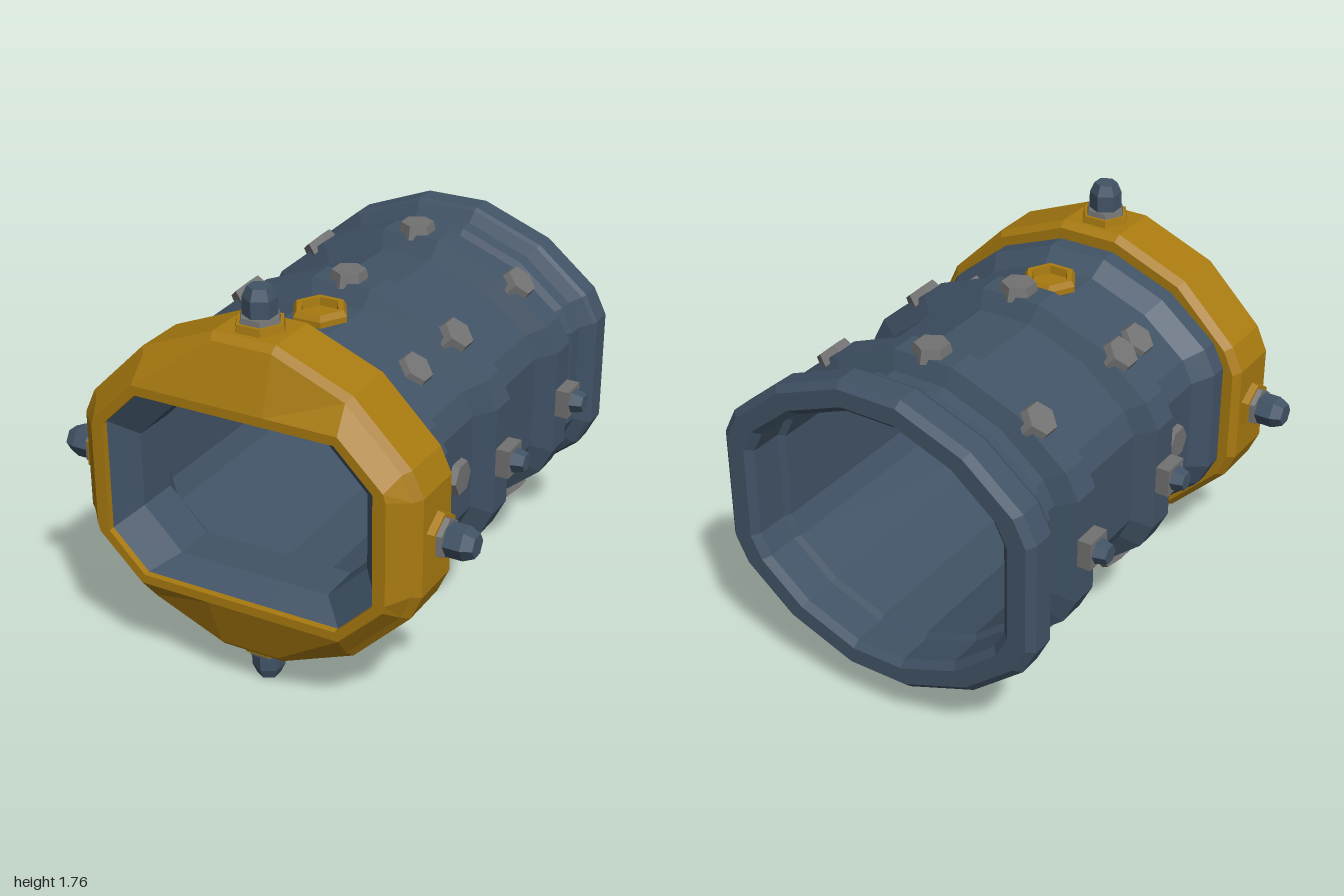
import * as THREE from 'three';

const CY = 0.885; // height of the tube axis
const mat = (name, color) => {
  const m = new THREE.MeshStandardMaterial({ color, flatShading: true });
  m.name = name;
  return m;
};

// Mirror one quadrant (listed from +x round to +y) into a full ring
function ring(z, quad, s = 1) {
  const q1 = quad.map(([x, y]) => [x * s, y * s]);
  const q2 = q1.map(([x, y]) => [-x, y]).reverse();
  const half = [...q1, ...q2];
  return [...half, ...half.map(([x, y]) => [-x, -y])].map(([x, y]) => [x, y, z]);
}

// Skin a closed profile of rings; outside runs back to front
function loft(rings) {
  const n = rings[0].length, index = [];
  for (let i = 0; i < rings.length; i++) {
    const k = (i + 1) % rings.length;
    for (let j = 0; j < n; j++) {
      const l = (j + 1) % n;
      index.push(i * n + j, i * n + l, k * n + l, i * n + j, k * n + l, k * n + j);
    }
  }
  const g = new THREE.BufferGeometry();
  g.setAttribute('position', new THREE.Float32BufferAttribute(rings.flat(2), 3));
  g.setIndex(index);
  const flat = g.toNonIndexed();
  flat.computeVertexNormals();
  return flat;
}

// Six-sided frustum standing on y0; turn swaps corners from z to x
function hex(rBottom, rTop, y0, y1, turn = false) {
  const g = new THREE.CylinderGeometry(rTop, rBottom, y1 - y0, 6);
  if (turn) g.rotateY(Math.PI / 6);
  return g.translate(0, (y0 + y1) / 2, 0);
}

export function createModel() {
  const root = new THREE.Group();
  const blue = mat('slate blue', 0x415366);
  const gold = mat('dark gold', 0xa87a10);
  const grey = mat('bolt grey', 0x727272);

  const add = (parent, name, geo, material) => {
    const m = new THREE.Mesh(geo, material);
    m.name = name;
    parent.add(m);
    return m;
  };
  // Group whose +y points outwards at angle a (clockwise from the top)
  const mount = (name, x, y, z, a) => {
    const g = new THREE.Group();
    g.name = name;
    g.position.set(x, CY + y, z);
    g.rotation.z = -a;
    root.add(g);
    return g;
  };

  // Cross-section quadrants
  const barrel = [[0.63, 0.21], [0.58, 0.31], [0.385, 0.472], [0.12, 0.575]];
  const collar = [[0.77, 0.215], [0.72, 0.325], [0.47, 0.575], [0.14, 0.71]];
  const rim = [[0.665, 0.225], [0.655, 0.26], [0.46, 0.45], [0.14, 0.45]];
  const mouth = [[0.61, 0.12], [0.61, 0.245], [0.445, 0.41], [0.14, 0.41]];
  const throat = [[0.52, 0.08], [0.52, 0.165], [0.345, 0.34], [0.12, 0.34]];

  // Hollow tube: outer steps and bands, then the bore back to the rear
  const outer = [
    [-1, 1.14], [-0.97, 1.19], [-0.87, 1.19], [-0.85, 1.17], [-0.82, 1.085], [-0.76, 1.075],
    [-0.73, 1], [-0.655, 1], [-0.625, 1.14], [-0.495, 1.14], [-0.455, 1],
    [-0.04, 1], [0, 1.14], [0.13, 1.14], [0.17, 1], [0.46, 1], [0.54, 1.105], [0.66, 1.105],
  ].map(([z, s]) => ring(z, barrel, s));
  const bore = [[0.6, 0.92], [-0.8, 0.92], [-0.82, 0.96], [-0.97, 0.96], [-1, 1.01]]
    .map(([z, s]) => ring(z, barrel, s));
  const tube = add(root, 'tube', loft([
    ...outer, ring(0.97, mouth), ring(0.87, throat), ring(0.68, throat), ...bore,
  ]), blue);
  tube.position.y = CY;

  // Front collar
  const collarMesh = add(root, 'frontCollar', loft([
    ring(0.62, barrel, 1.06), ring(0.62, collar, 0.965), ring(0.655, collar), ring(0.89, collar),
    ring(0.918, collar, 0.96), ring(1, rim), ring(1, mouth), ring(0.97, mouth),
  ]), gold);
  collarMesh.position.y = CY;

  // Four capped studs around the collar
  for (let k = 0; k < 4; k++) {
    const a = k * Math.PI / 2, r = k % 2 ? 0.765 : 0.705;
    const g = mount('collarStud', Math.sin(a) * r, Math.cos(a) * r, 0.77, a);
    add(g, 'studBase', hex(0.115, 0.105, -0.02, 0.036, true), gold);
    add(g, 'studWasher', hex(0.09, 0.085, 0.036, 0.058, true), grey);
    add(g, 'studShaft', hex(0.07, 0.07, 0.058, 0.13), blue);
    add(g, 'studTip', hex(0.07, 0.05, 0.13, 0.175), blue);
  }

  const bolt = (x, y, z, a, h) =>
    add(mount('bolt', x, y, z, a), 'boltHead', hex(0.085, 0.072, -0.02, h), grey);

  // Bolts on the two raised bands, with square plates at the sides
  for (const z of [0.065, -0.56]) {
    for (const sy of [1, -1]) {
      bolt(0, sy * 0.655, z, sy > 0 ? 0 : Math.PI, 0.04);
      for (const sx of [1, -1])
        bolt(sx * 0.488, sy * 0.493, z, Math.atan2(sx * 0.68, sy * 0.74), 0.035);
    }
    for (const sx of [1, -1]) {
      const g = mount('sidePlate', sx * 0.718, 0, z, sx * Math.PI / 2);
      add(g, 'plate', new THREE.BoxGeometry(0.125, 0.08, 0.125).translate(0, 0.02, 0), grey);
      add(g, 'plateKnob', hex(0.055, 0.04, 0.06, 0.113), blue);
    }
  }

  // Bolts on the plain section behind the collar
  for (const sx of [1, -1]) {
    bolt(sx * 0.63, 0, 0.31, sx * Math.PI / 2, 0.03);
    for (const sy of [1, -1])
      bolt(sx * 0.43, sy * 0.43, 0.31, Math.atan2(sx * 0.66, sy * 0.75), 0.03);
  }
  bolt(0, -0.575, 0.31, Math.PI, 0.03);

  // Hollow hexagonal cap on top
  const profile = [[0.08, 0.015], [0.125, -0.01], [0.125, 0.025], [0.11, 0.05], [0.085, 0.05], [0.08, 0.015], [0, 0.015]]
    .slice(1).map(([x, y]) => new THREE.Vector2(x, y));
  const cap = mount('topCap', 0, 0.575, 0.31, 0);
  add(cap, 'hexCap', new THREE.LatheGeometry(profile, 6, Math.PI / 6), gold);

  return root;
}
